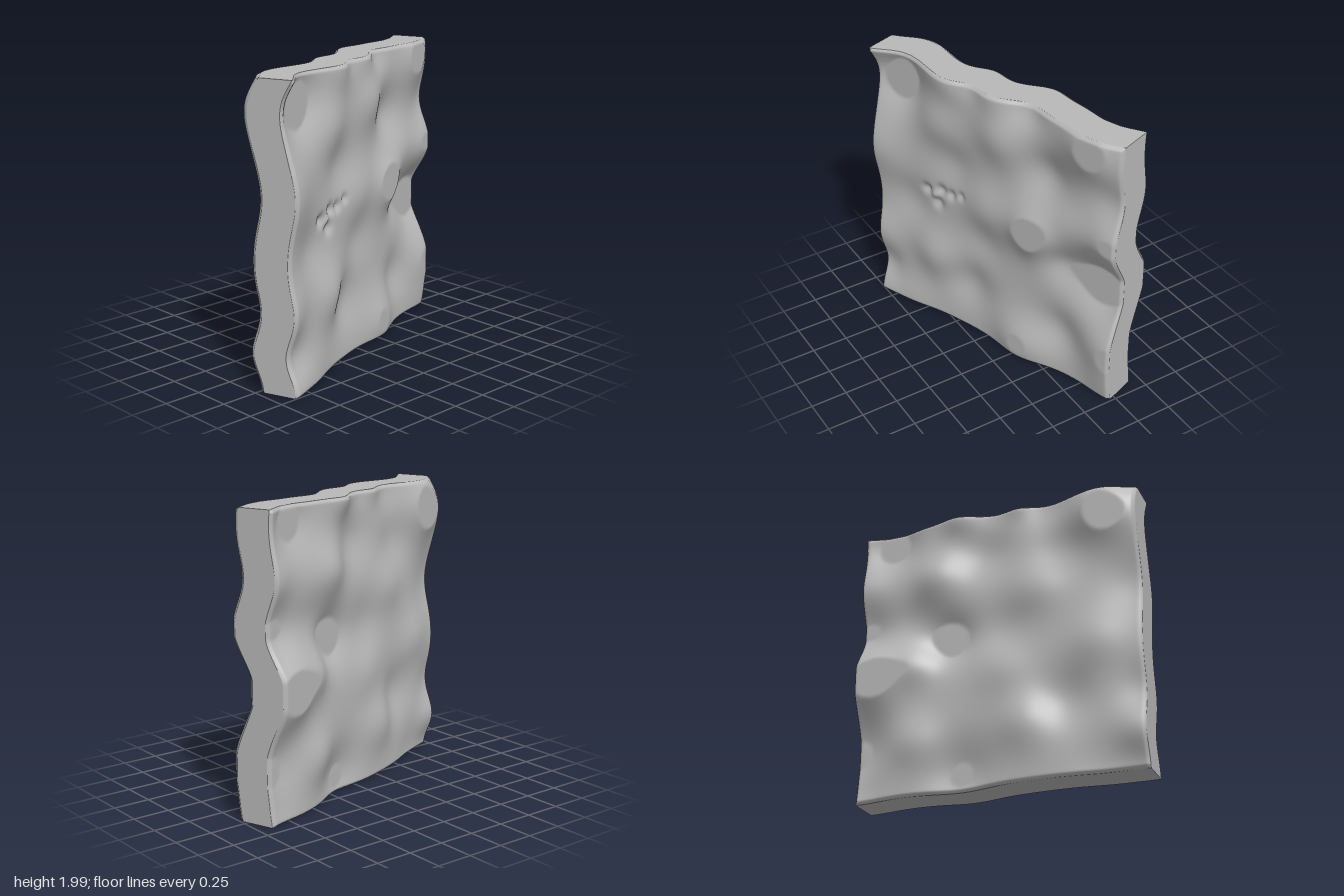
import * as THREE from 'three';

const LENGTH = 2, HEIGHT = 1.985, HALF = 0.134, LIMIT = 0.062, ROUND = 0.022;

// Swells and hollows of the slab: [along, up, radius, height]
const swells = [
  [-1.02, 2.08, 0.18, 0.09], [-1.0, 1.25, 0.24, 0.06], [-0.79, 1.80, 0.22, -0.11],
  [-0.45, 1.62, 0.20, 0.045], [-0.36, 1.98, 0.18, 0.05], [-0.17, 2.0, 0.10, -0.02],
  [0.0, 2.0, 0.14, 0.03], [-0.32, 1.32, 0.18, -0.035], [0.08, 1.69, 0.20, 0.06],
  [0.42, 1.54, 0.18, -0.065], [0.27, 1.98, 0.13, -0.045], [0.78, 1.88, 0.21, 0.085],
  [0.95, 1.55, 0.14, -0.02], [0.35, 1.08, 0.19, 0.10], [0.62, 1.25, 0.17, 0.03],
  [0.95, 1.23, 0.20, 0.075], [0.87, 0.86, 0.22, -0.11], [0.56, 0.91, 0.15, -0.05],
  [0.97, 0.38, 0.22, 0.07], [0.56, 0.35, 0.18, -0.05], [0.25, 0.12, 0.22, 0.072],
  [-0.05, 1.10, 0.20, 0.04], [-0.06, 0.78, 0.18, -0.03], [-0.22, 0.39, 0.20, -0.06],
  [-0.47, 0.52, 0.20, 0.06], [-0.70, 0.88, 0.18, -0.035], [-1.0, 0.52, 0.18, 0.045],
  [-0.95, 0.24, 0.14, -0.03], [-0.75, 0.02, 0.22, 0.04], [-1.0, 0.0, 0.16, 0.04],
  [0.97, 0.08, 0.18, 0.03],
];

// Small pits and a raised lump clustered on the front
const pits = [
  [-0.57, 1.03, 0.04, -0.03], [-0.50, 1.01, 0.03, 0.014], [-0.44, 1.07, 0.04, -0.03],
  [-0.47, 0.96, 0.045, -0.028], [-0.35, 1.07, 0.035, -0.025], [-0.26, 1.10, 0.03, -0.02],
];

const field = (bumps, u, y) => bumps.reduce((sum, [bu, by, r, h]) =>
  sum + h * Math.exp(-((u - bu) ** 2 + (y - by) ** 2) / (r * r)), 0);

export function createModel() {
  const stone = new THREE.MeshStandardMaterial({ color: 0xb8b8b8 });
  stone.name = 'grey stone';

  const geometry = new THREE.BoxGeometry(LENGTH, HEIGHT, HALF * 2, 150, 150, 4);
  geometry.translate(0, HEIGHT / 2, 0);
  const p = geometry.attributes.position;
  for (let i = 0; i < p.count; i++) {
    const u = p.getX(i), y = p.getY(i), side = p.getZ(i) / HALF;
    // rounded rim: the slab thins towards its outer edges
    const d = Math.min(LENGTH / 2 - Math.abs(u), y, HEIGHT - y, ROUND);
    const inset = ROUND - Math.max(0, d);
    const half = HALF - ROUND + Math.sqrt(ROUND * ROUND - inset * inset);
    // both faces follow the same swell, flattened at its limits
    let n = side * half + THREE.MathUtils.clamp(field(swells, u, y), -LIMIT, LIMIT);
    if (side > 0.99) n += field(pits, u, y);
    p.setZ(i, n);
  }
  geometry.computeVertexNormals();

  const slab = new THREE.Mesh(geometry, stone);
  slab.name = 'wavySlab';
  slab.rotation.y = 0.352;

  const group = new THREE.Group();
  group.name = 'wavyPanel';
  group.add(slab);
  return group;
}
